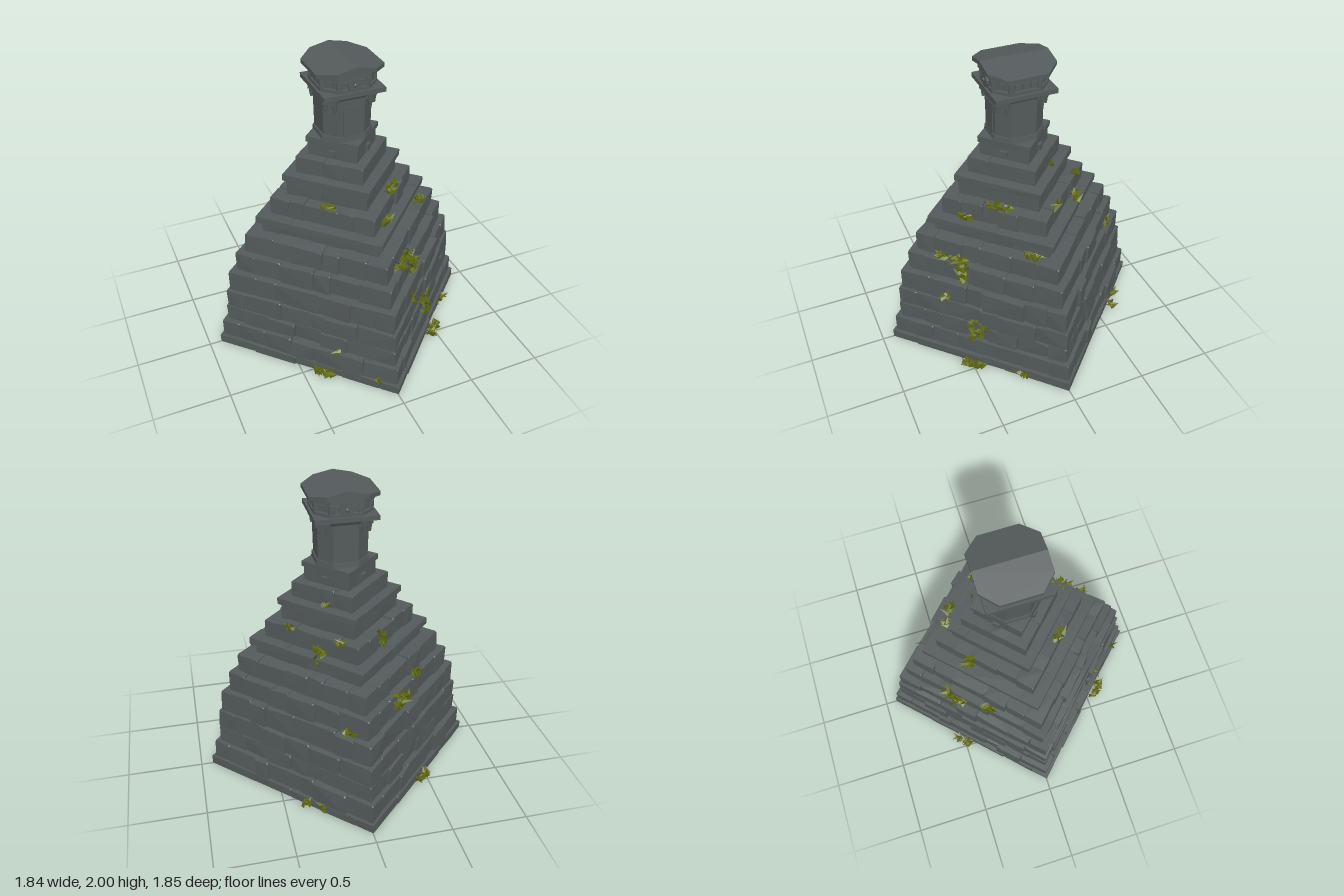
import * as THREE from 'three';
import { mergeGeometries } from 'three/addons/utils/BufferGeometryUtils.js';
import { ConvexGeometry } from 'three/addons/geometries/ConvexGeometry.js';

const stone = new THREE.MeshStandardMaterial({ color: 0x545a5b, flatShading: true });
stone.name = 'dark stone';
const moss = new THREE.MeshStandardMaterial({ color: 0x5f6812, flatShading: true });
moss.name = 'olive moss';

let seed = 7;
const rnd = () => (seed = (seed * 16807) % 2147483647) / 2147483647;
const jit = (a) => (rnd() * 2 - 1) * a;

function add(parent, name, geo, mat = stone, x = 0, y = 0, z = 0) {
  const m = new THREE.Mesh(geo, mat);
  m.name = name;
  m.position.set(x, y, z);
  parent.add(m);
  return m;
}
const box = (w, h, d) => new THREE.BoxGeometry(w, h, d);

// Roughly hewn block: a box with chamfered, slightly displaced corners
function hewnBlock(x0, x1, y0, y1, z0, z1, rough) {
  const pts = [];
  for (const sx of [0, 1]) for (const sy of [0, 1]) for (const sz of [0, 1]) {
    const c = new THREE.Vector3(
      (sx ? x1 : x0) + jit(rough * 0.4), (sy ? y1 : y0) + jit(rough * 0.5), (sz ? z1 : z0) + jit(rough * 0.4));
    for (const axis of ['x', 'y', 'z']) {
      const p = c.clone();
      const cut = rough * (0.4 + rnd() * 0.8);
      p[axis] += cut * ({ x: sx, y: sy, z: sz }[axis] ? -1 : 1);
      p.y = Math.max(0, p.y);
      pts.push(p);
    }
  }
  return new ConvexGeometry(pts);
}

// One square course: solid core ringed by blocks that overlap pinwheel-fashion at the corners
function course(parent, name, y0, y1, R, blockLen, rough, flip) {
  const s = R / Math.SQRT2;
  const depth = Math.min(0.13, s * 0.6);
  const core = 2 * (s - rough * 2 - 0.004);
  add(parent, name + 'Core', box(core, y1 - y0 - 0.006, core), stone, 0, (y0 + y1) / 2 - 0.003, 0);
  const blocks = [];
  const length = 2 * s - depth;
  const count = Math.max(1, Math.round(length / blockLen));
  for (let side = 0; side < 4; side++) {
    const cuts = [0];
    for (let i = 1; i < count; i++) cuts.push((i + jit(0.35)) / count);
    cuts.push(1);
    for (let i = 0; i < count; i++) {
      let a = -s + cuts[i] * length, b = -s + cuts[i + 1] * length;
      if (flip) [a, b] = [-b, -a];
      const corner = i === 0 || i === count - 1;
      const out = s + (corner ? 0 : jit(rough) + rough * 0.3);
      const g = hewnBlock(a + 0.001, b - 0.001, y0, y1 + jit(rough * 0.4), s - depth, out, rough);
      blocks.push(g.rotateY(side * Math.PI / 2));
    }
  }
  add(parent, name + 'Blocks', mergeGeometries(blocks), stone);
}

// Ragged tuft of pointed leaves, optionally trailing down the wall
function tuft(parent, x, y, z, spread, drop, count) {
  const along = new THREE.Vector3(Math.sign(x), 0, -Math.sign(z)).normalize();
  const out = new THREE.Vector3(Math.sign(x), 0, Math.sign(z)).normalize();
  const leaves = [];
  for (let i = 0; i < count; i++) {
    const len = 0.045 + rnd() * 0.03;
    const g = new THREE.ConeGeometry(0.02 + rnd() * 0.01, len, 4);
    g.scale(1, 1, 0.4).translate(0, len * 0.3, 0);
    g.rotateY(rnd() * 6.28).rotateX(jit(1.5)).rotateZ(jit(1.5));
    const t = rnd();
    const p = along.clone().multiplyScalar(jit(spread)).addScaledVector(out, jit(0.02) + t * drop * 0.2);
    g.translate(x + p.x, Math.max(0.03, y - t * drop), z + p.z);
    leaves.push(g);
  }
  add(parent, 'mossTuft', mergeGeometries(leaves), moss);
}

// Chamfered square: half width h, straight edges reaching from -c to c
const octagon = (h, c) => [[h, c], [c, h], [-c, h], [-h, c], [-h, -c], [-c, -h], [c, -h], [h, -c]];

function octBlock(parent, name, y0, y1, h0, c0, h1 = h0, c1 = c0) {
  const ring = (h, c, y) => octagon(h, c).map(([x, z]) => new THREE.Vector3(x, y, z));
  add(parent, name, new ConvexGeometry([...ring(h0, c0, y0), ...ring(h1, c1, y1)]));
}

// Half of a chamfered gable; top and bottom heights depend on the distance from the ridge
function gableHalf(parent, name, side, h, c, top, bottom) {
  const outline = [[0, -h], [c, -h], [h, -c], [h, c], [c, h], [0, h]];
  const pts = outline.flatMap(([x, z]) => [top(x), bottom(x)].map((y) => new THREE.Vector3(side * x, y, z)));
  add(parent, name, new ConvexGeometry(pts));
}

function buildTower(parent) {
  // Eight-sided shaft with flared foot and neck
  octBlock(parent, 'shaftFoot', 1.485, 1.525, 0.172, 0.08, 0.168, 0.078);
  octBlock(parent, 'shaft', 1.525, 1.77, 0.159, 0.078, 0.164, 0.08);
  octBlock(parent, 'shaftNeck', 1.77, 1.8, 0.164, 0.08, 0.182, 0.095);
  add(parent, 'frontPanel', box(0.11, 0.24, 0.02), stone, -0.005, 1.61, 0.157);

  // Corner brackets below the capital slab
  for (const sx of [-1, 1]) for (const sz of [-1, 1]) {
    const b = add(parent, 'cornerBracket', box(0.09, 0.05, 0.08), stone, sx * 0.122, 1.777, sz * 0.122);
    b.rotation.y = sx * sz * Math.PI / 4;
    for (const [px, pz] of [[0.158, 0.115], [0.115, 0.158]]) {
      add(parent, 'bracketDrop', new THREE.CylinderGeometry(0.022, 0.01, 0.085, 6), stone, sx * px, 1.745, sz * pz);
    }
  }
  add(parent, 'capitalSlab', box(0.4, 0.03, 0.4), stone, 0, 1.815, 0);
  octBlock(parent, 'friezeStep', 1.83, 1.85, 0.185, 0.1);
  octBlock(parent, 'friezeCore', 1.85, 1.912, 0.168, 0.09);
  octBlock(parent, 'cornice', 1.908, 1.93, 0.192, 0.105);

  // Scrolls on the frieze corners
  for (const [x, z] of octagon(0.168, 0.09)) {
    add(parent, 'friezeScroll', new THREE.CylinderGeometry(0.021, 0.021, 0.05, 8), stone, x, 1.877, z);
  }
  // Dentils on all eight sides, with a round boss on front and back
  for (let side = 0; side < 8; side++) {
    const g = new THREE.Group();
    g.name = 'friezeSide';
    g.rotation.y = side * Math.PI / 4;
    parent.add(g);
    const diagonal = side % 2 === 1;
    const r = diagonal ? 0.183 : 0.168;
    if (side % 4 === 0) {
      const disc = new THREE.CylinderGeometry(0.046, 0.046, 0.045, 14).rotateX(Math.PI / 2);
      add(g, 'boss', disc, stone, 0, 1.875, r + 0.004);
      add(g, 'bossCentre', new THREE.SphereGeometry(0.012, 8, 6), stone, 0, 1.875, r + 0.025);
    }
    const xs = diagonal ? [0] : side % 4 === 0 ? [-0.058, 0.058] : [-0.05, 0, 0.05];
    for (const x of xs) add(g, 'dentil', box(0.036, 0.04, 0.026), stone, x, 1.877, r);
  }

  // Shallow gable roof with cut corners, ridge running front to back
  for (const side of [-1, 1]) {
    gableHalf(parent, 'gable', side, 0.19, 0.105, (x) => 1.975 - x * 0.2, () => 1.925);
    gableHalf(parent, 'roof', side, 0.22, 0.125, (x) => 2 - x * 0.214, (x) => 1.972 - x * 0.2);
  }
}

export function createModel() {
  const model = new THREE.Group();
  model.name = 'steppedMonument';

  // Stepped base, its corners on the x and z axes
  const base = new THREE.Group();
  base.name = 'steppedBase';
  base.rotation.y = Math.PI / 4;
  model.add(base);
  // name, bottom, top, half diagonal, block length, roughness
  [
    ['plinth', 0, 0.06, 0.922, 0.3, 0.007],
    ['course', 0.06, 0.19, 0.897, 0.19, 0.012],
    ['course', 0.19, 0.31, 0.852, 0.18, 0.012],
    ['course', 0.31, 0.44, 0.847, 0.2, 0.012],
    ['course', 0.44, 0.59, 0.82, 0.2, 0.013],
    ['course', 0.59, 0.73, 0.758, 0.19, 0.012],
    ['course', 0.73, 0.865, 0.69, 0.17, 0.012],
    ['course', 0.865, 0.935, 0.565, 0.2, 0.007],
    ['ledge', 0.935, 0.98, 0.608, 0.4, 0.004],
    ['course', 0.98, 1.1, 0.503, 0.16, 0.01],
    ['course', 1.1, 1.205, 0.388, 0.18, 0.007],
    ['ledge', 1.205, 1.25, 0.414, 0.4, 0.004],
    ['course', 1.25, 1.36, 0.32, 0.2, 0.008],
    ['pedestal', 1.36, 1.455, 0.234, 0.4, 0.004],
    ['pedestalSlab', 1.455, 1.492, 0.25, 0.4, 0.004],
  ].forEach(([name, y0, y1, R, len, rough], i) => course(base, name, y0, y1, R, len, rough, i % 2 === 1));

  // Square studs on the pedestal faces
  for (let k = 0; k < 4; k++) {
    const a = k * Math.PI / 2;
    const stud = add(base, 'stud', box(0.045, 0.045, 0.03), stone, Math.sin(a) * 0.168, 1.4, Math.cos(a) * 0.168);
    stud.rotation.y = a;
  }

  const tower = new THREE.Group();
  tower.name = 'tower';
  model.add(tower);
  buildTower(tower);

  // Moss: x, y, z, spread, drop, leaf count
  const plants = new THREE.Group();
  plants.name = 'moss';
  model.add(plants);
  [
    [-0.39, 0.04, 0.58, 0.07, 0, 18], [0.48, 0.03, 0.5, 0.07, 0, 18], [0.69, 0.03, 0.23, 0.05, 0, 10],
    [0.42, 0.33, 0.44, 0.05, 0.14, 20], [0.24, 0.5, 0.59, 0.02, 0.05, 6], [0.2, 0.755, 0.53, 0.1, 0, 24],
    [0.28, 0.74, 0.48, 0.03, 0.13, 20], [0.51, 0.875, 0.12, 0.06, 0, 9], [0.13, 1.0, 0.4, 0.04, 0, 8],
    [0.25, 1.11, 0.21, 0.08, 0, 14], [-0.2, 1.11, 0.27, 0.05, 0, 7], [-0.28, 0.2, 0.59, 0.02, 0, 4],
    [-0.1, 0.07, 0.82, 0.01, 0, 2], [-0.46, 0.04, -0.51, 0.06, 0, 14], [-0.28, 0.74, -0.48, 0.08, 0.1, 24],
    [-0.45, 0.74, -0.3, 0.05, 0, 9], [-0.19, 1.1, -0.32, 0.03, 0.1, 10], [0.1, 0.61, -0.66, 0.04, 0, 9],
    [0.09, 1.1, -0.4, 0.03, 0, 6], [0.21, 1.06, -0.35, 0.03, 0.12, 14], [0.37, 1.1, -0.13, 0.03, 0, 7],
    [0.28, 0.05, -0.68, 0.03, 0, 5], [0.36, 0.05, -0.61, 0.02, 0, 4], [0.14, 1.26, -0.2, 0.02, 0, 3],
  ].forEach((t) => tuft(plants, ...t));

  return model;
}
